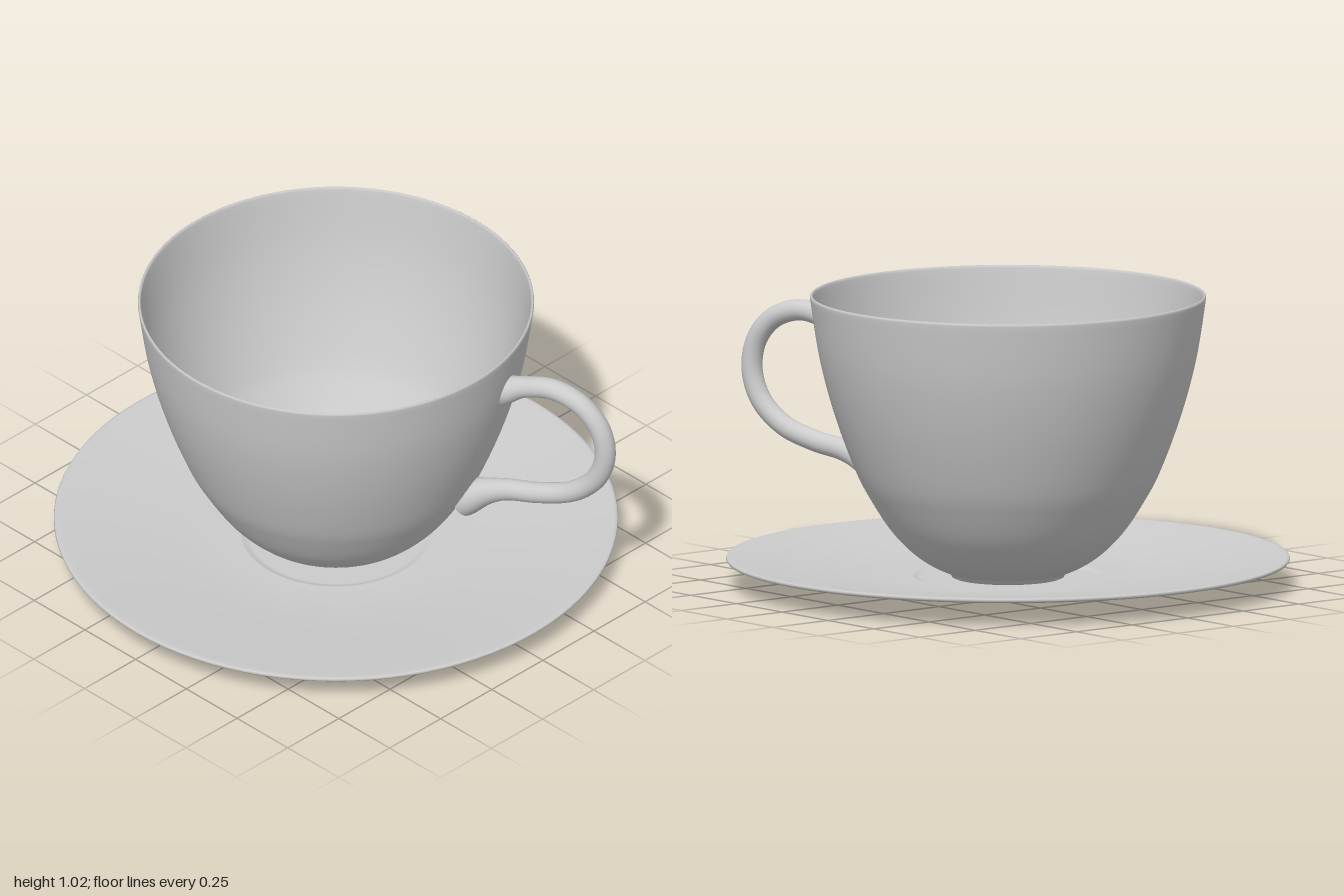
import * as THREE from 'three';
import { mergeVertices } from 'three/addons/utils/BufferGeometryUtils.js';

const v2 = (p) => new THREE.Vector2(p[0], p[1]);
const smooth = (pts, n) => new THREE.SplineCurve(pts.map(v2)).getPoints(n);

// Outer wall of the cup, from the foot to the rim (radius, height)
const cupOuter = smooth([[0.2, 0.043], [0.27, 0.075], [0.34, 0.125], [0.41, 0.2], [0.475, 0.3],
  [0.53, 0.405], [0.602, 0.6], [0.655, 0.8], [0.688, 1.01]], 48);

function outerRadius(y) {
  for (let i = 1; i < cupOuter.length; i++) {
    const a = cupOuter[i - 1], b = cupOuter[i];
    if (y <= b.y) return a.x + (b.x - a.x) * Math.max(0, (y - a.y) / (b.y - a.y));
  }
  return 0.688;
}

function createCup(material) {
  const inner = smooth([[0.677, 1.01], [0.643, 0.8], [0.59, 0.6], [0.517, 0.405], [0.462, 0.305],
    [0.397, 0.21], [0.327, 0.138], [0.26, 0.09], [0.2, 0.064]], 48);
  const profile = [
    ...[[0, 0.028], [0.185, 0.028], [0.195, 0.032]].map(v2),
    ...cupOuter,
    ...[[0.687, 1.017], [0.683, 1.02], [0.679, 1.017]].map(v2),
    ...inner,
    ...[[0.195, 0.056], [0.19, 0.055], [0, 0.055]].map(v2),
  ];
  const cup = new THREE.Mesh(new THREE.LatheGeometry(profile, 96), material);
  cup.name = 'cup';
  return cup;
}

function createSaucer(material) {
  const profile = [
    // underside with a shallow raised disc
    [0, 0], [0.15, 0.001], [0.27, 0.004], [0.285, 0.006], [0.295, 0.013], [0.305, 0.014], [0.32, 0.01],
    [0.4, 0.009], [0.46, 0.012], [0.55, 0.023], [0.7, 0.046], [0.85, 0.068], [0.965, 0.084],
    // rim
    [0.976, 0.088], [0.98, 0.094], [0.977, 0.1], [0.968, 0.101],
    // upper face down to the well
    [0.95, 0.099], [0.85, 0.086], [0.7, 0.065], [0.55, 0.046], [0.45, 0.037], [0.36, 0.035],
    [0.335, 0.037], [0.325, 0.035], [0.315, 0.029], [0.3, 0.026], [0.15, 0.026], [0, 0.026],
  ].map(v2);
  const saucer = new THREE.Mesh(new THREE.LatheGeometry(profile, 96), material);
  saucer.name = 'saucer';
  return saucer;
}

function createHandle(material) {
  // Centre line in the plane of the handle (distance from the cup axis, height)
  const path = [[0.61, 0.835], [0.67, 0.852], [0.73, 0.877], [0.84, 0.9], [0.95, 0.865], [1.02, 0.785],
    [1.04, 0.68], [1.005, 0.575], [0.915, 0.492], [0.785, 0.445], [0.66, 0.42], [0.57, 0.383], [0.49, 0.33]];
  const curve = new THREE.CatmullRomCurve3(path.map(([r, y]) => new THREE.Vector3(0, y, r)));
  const steps = 96, sides = 20;
  let geo = new THREE.TubeGeometry(curve, steps, 1, sides, false);
  const pos = geo.attributes.position, p = new THREE.Vector3();
  for (let i = 0; i <= steps; i++) {
    const t = i / steps, c = curve.getPointAt(t);
    // slim grip that flares where it meets the wall
    const flare = Math.exp(-((t / 0.055) ** 2)) + 0.9 * Math.exp(-(((1 - t) / 0.09) ** 2));
    const radius = 0.037 + 0.03 * flare;
    for (let j = 0; j <= sides; j++) {
      const k = i * (sides + 1) + j;
      p.fromBufferAttribute(pos, k).sub(c).multiplyScalar(radius).add(c);
      // ends follow the cup wall instead of passing through it
      const wall = outerRadius(p.y) - 0.006;
      p.z = Math.max(p.z, Math.sqrt(wall * wall - p.x * p.x));
      pos.setXYZ(k, p.x, p.y, p.z);
    }
  }
  geo.deleteAttribute('uv');
  geo.deleteAttribute('normal');
  geo = mergeVertices(geo, 1e-5);
  geo.computeVertexNormals();
  const handle = new THREE.Mesh(geo, material);
  handle.name = 'handle';
  handle.rotation.y = THREE.MathUtils.degToRad(19.2);
  return handle;
}

export function createModel() {
  const material = new THREE.MeshStandardMaterial({ color: 0xcccccc });
  const model = new THREE.Group();
  model.name = 'cupAndSaucer';
  const set = new THREE.Group();
  set.name = 'teaSet';
  set.add(createSaucer(material), createCup(material), createHandle(material));
  set.position.z = -0.02;
  model.add(set);
  return model;
}
